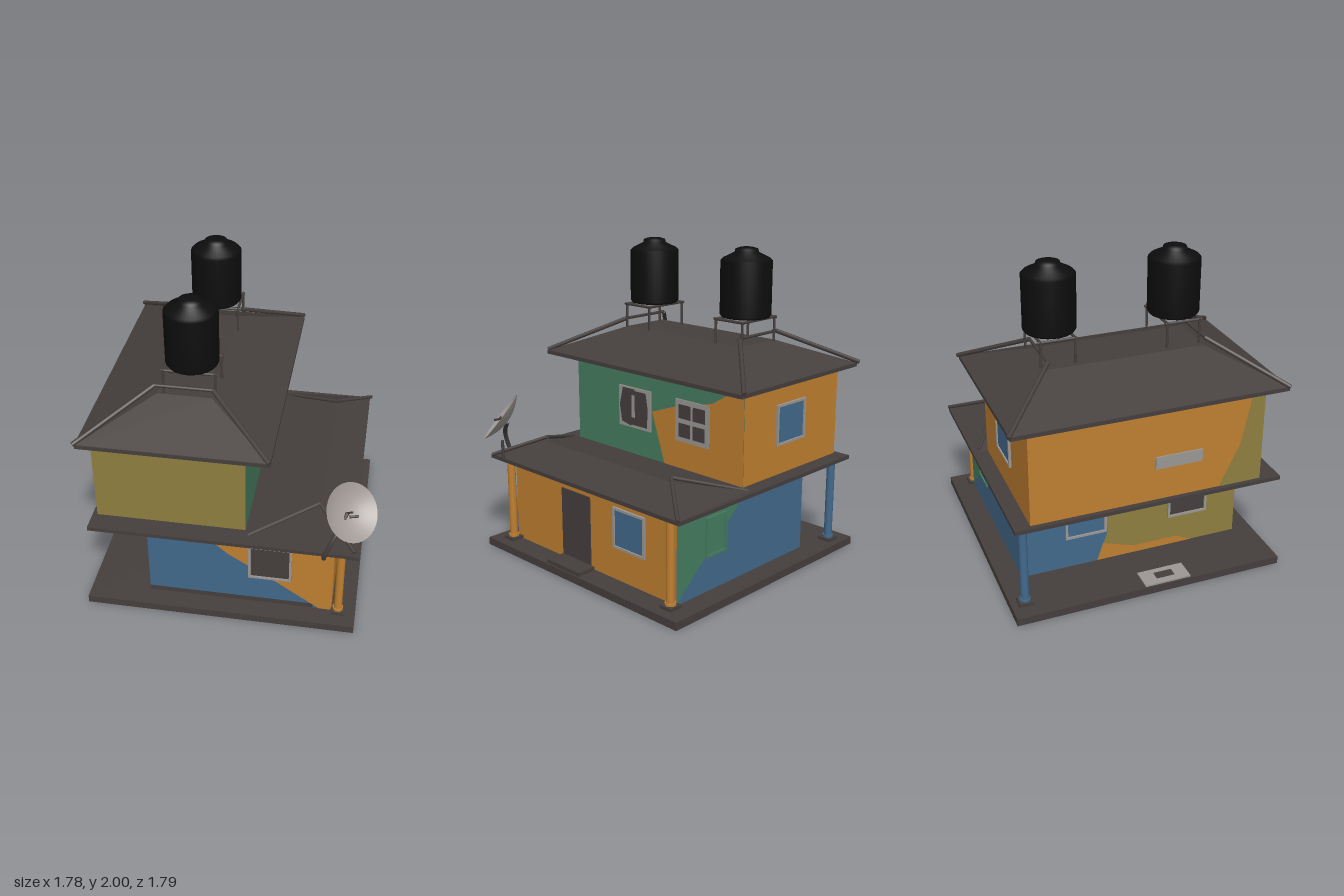
import * as THREE from 'three';

const mat = (name, color, side = THREE.FrontSide) => {
  const m = new THREE.MeshStandardMaterial({ color, side });
  m.name = name;
  return m;
};

export function createModel() {
  const root = new THREE.Group();
  root.name = 'house';
  const dark = mat('darkRoof', 0x453f3d), black = mat('blackTank', 0x0d0d0d);
  const orange = mat('orangePaint', 0xbf7f30), blue = mat('bluePaint', 0x42698c);
  const green = mat('greenPaint', 0x457d60), yellow = mat('oliveYellowPaint', 0x8f7f3f);
  const grey = mat('lightGrey', 0x9a9794), dish = mat('dishGrey', 0xa39c99, THREE.DoubleSide);

  const add = (name, geo, material, parent = root) => {
    const m = new THREE.Mesh(geo, material);
    m.name = name;
    parent.add(m);
    return m;
  };
  // box from its minimum and maximum corners
  const box = (name, a, b, material, parent) => {
    const m = add(name, new THREE.BoxGeometry(b[0] - a[0], b[1] - a[1], b[2] - a[2]), material, parent);
    m.position.set((a[0] + b[0]) / 2, (a[1] + b[1]) / 2, (a[2] + b[2]) / 2);
    return m;
  };
  const vec = p => new THREE.Vector3(...p);
  // straight round bar between two points
  const bar = (name, a, b, r, material, sides = 8) => {
    const p = vec(a), q = vec(b), d = q.clone().sub(p);
    const m = add(name, new THREE.CylinderGeometry(r, r, d.length(), sides), material);
    m.position.copy(p).add(q).multiplyScalar(0.5);
    m.quaternion.setFromUnitVectors(new THREE.Vector3(0, 1, 0), d.normalize());
    return m;
  };
  // flat polygons, corners counterclockwise seen from outside
  const faces = (name, polys, material) => {
    const v = [];
    for (const p of polys)
      for (let i = 1; i < p.length - 1; i++) v.push(...p[0], ...p[i], ...p[i + 1]);
    const g = new THREE.BufferGeometry();
    g.setAttribute('position', new THREE.Float32BufferAttribute(v, 3));
    g.computeVertexNormals();
    return add(name, g, material);
  };
  // wall frame: local x runs rightwards along the wall, local z points outwards
  const facade = (name, turn, dist) => {
    const g = new THREE.Group();
    g.name = name;
    g.rotation.y = turn * Math.PI / 2;
    g.position.set(Math.sin(g.rotation.y) * dist, 0, Math.cos(g.rotation.y) * dist);
    root.add(g);
    return g;
  };
  const poly = pts => new THREE.Shape(pts.map(p => new THREE.Vector2(...p)));
  const paint = (wall, name, pts, material, z = 0.003) => {
    add(name, new THREE.ShapeGeometry(poly(pts)), material, wall).position.z = z;
  };
  const rect = (u0, v0, u1, v1) => [[u0, v0], [u1, v0], [u1, v1], [u0, v1]];
  const windowAt = (wall, u0, v0, u1, v1, glass, frame = grey) => {
    const s = poly(rect(u0, v0, u1, v1)), t = 0.015;
    s.holes.push(new THREE.Path(poly(rect(u0 + t, v0 + t, u1 - t, v1 - t)).getPoints()));
    add('windowFrame', new THREE.ExtrudeGeometry(s, { depth: 0.015, bevelEnabled: false }), frame, wall);
    paint(wall, 'windowPane', rect(u0 + t, v0 + t, u1 - t, v1 - t), glass, 0.006);
  };

  // ground slab, step and mat
  box('groundSlab', [-0.89, 0, -0.89], [0.81, 0.05, 0.84], dark);
  box('doorStep', [0.67, 0.05, -0.06], [0.8, 0.075, 0.24], dark);
  box('sideStep', [-0.88, 0.05, -0.07], [-0.74, 0.06, 0.23], grey);
  paint(root, 'stepStain', rect(-0.84, 0, -0.78, 0.12), dark, 0);
  const stain = root.children[root.children.length - 1];
  stain.rotation.x = -Math.PI / 2;
  stain.position.set(0, 0.063, 0.14);

  // storeys and the slab between them
  box('lowerStorey', [-0.51, 0.05, -0.75], [0.66, 0.62, 0.71], [orange, yellow, dark, dark, blue, blue]);
  box('upperStorey', [-0.82, 0.62, -0.77], [0.11, 1.24, 0.7], [green, orange, dark, dark, yellow, orange]);
  box('floorSlab', [-0.85, 0.605, -0.87], [0.77, 0.63, 0.83], dark);

  // lower walls: paint, windows and door
  const front = facade('lowerFront', 0, 0.71);
  paint(front, 'orangeFrontPaint',
    [[0.58, 0.05], [0.66, 0.05], [0.66, 0.61], [-0.2, 0.61], [0, 0.43], [0.3, 0.24]], orange);
  paint(front, 'frontSkirting', rect(-0.51, 0.05, 0.54, 0.085), dark, 0.002);
  windowAt(front, 0.13, 0.26, 0.4, 0.52, dark);
  const right = facade('lowerRight', 1, 0.66);
  box('door', [-0.24, 0.05, 0], [0.02, 0.52, 0.009], dark, right);
  windowAt(right, 0.23, 0.26, 0.5, 0.52, blue);
  const back = facade('lowerBack', 2, 0.75);
  paint(back, 'greenBackPaint', [[-0.66, 0.05], [-0.62, 0.1], [-0.1, 0.55], [-0.05, 0.61], [-0.66, 0.61]], green);
  windowAt(back, -0.42, 0.27, -0.24, 0.52, green, green);
  const left = facade('lowerLeft', 3, 0.51);
  paint(left, 'blueLeftPaint', [[-0.75, 0.05], [-0.25, 0.05], [-0.18, 0.25], [-0.2, 0.61], [-0.75, 0.61]], blue);
  paint(left, 'orangeLeftPaint', [[-0.25, 0.05], [0.4, 0.05], [0.3, 0.1], [0, 0.1], [-0.21, 0.17]], orange);
  windowAt(left, -0.46, 0.26, -0.19, 0.52, blue);
  windowAt(left, 0.23, 0.26, 0.5, 0.52, dark);

  // upper walls: paint and windows
  const upRight = facade('upperRight', 1, 0.11);
  paint(upRight, 'orangeRightPaint',
    [[0.12, 0.63], [0.77, 0.63], [0.77, 1.24], [0.73, 1.23], [0.52, 1.1], [0.2, 1.02], [0.01, 0.95]], orange);
  box('weatheredWindow', [-0.29, 0.81, 0], [0, 1.08, 0.009], grey, upRight);
  paint(upRight, 'wornPaneLeft',
    [[-0.26, 0.84], [-0.17, 0.82], [-0.17, 1.07], [-0.25, 1.07], [-0.28, 0.95]], dark, 0.012);
  paint(upRight, 'wornPaneRight',
    [[-0.14, 0.83], [-0.03, 0.83], [-0.02, 0.95], [-0.04, 1.06], [-0.14, 1.06]], dark, 0.012);
  paint(upRight, 'wornPaneTop', rect(-0.17, 1.03, -0.14, 1.07), dark, 0.012);
  paint(upRight, 'wornPaneBottom', rect(-0.17, 0.83, -0.14, 0.88), dark, 0.012);
  box('paneledWindow', [0.22, 0.81, 0], [0.5, 1.08, 0.009], grey, upRight);
  for (const u of [0.25, 0.37])
    for (const v of [0.84, 0.96]) paint(upRight, 'smallPane', rect(u, v, u + 0.1, v + 0.09), dark, 0.012);
  windowAt(facade('upperBack', 2, 0.77), 0.19, 0.82, 0.47, 1.08, blue);
  const upLeft = facade('upperLeft', 3, 0.82);
  paint(upLeft, 'yellowLeftPaint', [[0.42, 0.63], [0.7, 0.63], [0.7, 1.24], [0.62, 1.24], [0.55, 0.9]], yellow);
  box('narrowWindow', [0, 0.84, 0], [0.3, 0.92, 0.009], grey, upLeft);

  // columns
  for (const [x, z, m] of [[0.7, 0.71, orange], [0.7, -0.74, orange], [-0.75, -0.8, blue]]) {
    bar('column', [x, 0.05, z], [x, 0.61, z], 0.026, m, 20);
    box('columnBase', [x - 0.045, 0.05, z - 0.045], [x + 0.045, 0.07, z + 0.045], dark);
    bar('columnCollar', [x, 0.07, z], [x, 0.085, z], 0.034, m, 20);
  }

  // upper hip roof with a flat top
  box('upperEave', [-0.87, 1.225, -0.88], [0.27, 1.25, 0.83], dark);
  const ring = (x0, x1, z0, z1, y) => [[x0, y, z1], [x1, y, z1], [x1, y, z0], [x0, y, z0]];
  const lo = ring(-0.865, 0.265, -0.875, 0.825, 1.25), hi = ring(-0.46, -0.13, -0.53, 0.46, 1.41);
  faces('upperRoof', [hi, ...lo.map((p, i) => [p, lo[(i + 1) % 4], hi[(i + 1) % 4], hi[i]])], dark);
  const capLo = ring(-0.88, 0.265, -0.89, 0.83, 1.255), capHi = ring(-0.475, -0.12, -0.53, 0.46, 1.465);
  capLo.forEach((p, i) => bar('upperHipCap', p, capHi[i], 0.014, dark));
  bar('frontRidgeCap', capHi[0], capHi[1], 0.01, dark);
  bar('backRidgeCap', capHi[2], capHi[3], 0.01, dark);

  // lower porch roof, open at the front end
  const rf = [0.55, 0.735, 0.53], rb = [0.55, 0.735, -0.6];
  const ef = [0.765, 0.63, 0.82], eb = [0.765, 0.63, -0.865];
  const wf = [0.11, 0.63, 0.74], wb = [0.11, 0.63, -0.83];
  faces('porchRoof', [[ef, eb, rb, rf], [wb, wf, rf, rb], [eb, wb, rb]], dark);
  for (const [z, ez, wz] of [[0.53, 0.8, 0.74], [-0.59, -0.87, -0.82]]) {
    bar('porchHipCap', [0.78, 0.635, ez], [0.54, 0.76, z], 0.012, dark);
    bar('porchInnerCap', [0.13, 0.63, wz], [0.54, 0.76, z], 0.012, dark);
  }

  // water tanks on stands
  const profile = [[0, 1.575], [0.15, 1.575], [0.16, 1.59], [0.16, 1.92], [0.145, 1.935],
    [0.075, 1.97], [0.07, 1.99], [0.04, 2], [0, 2]].map(p => new THREE.Vector2(...p));
  for (const z of [0.34, -0.45]) {
    const tank = add('waterTank', new THREE.LatheGeometry(profile, 32), black);
    tank.position.set(-0.265, 0, z);
    for (const s of [-1, 1]) {
      const x = -0.265 + s * 0.155;
      for (const t of [-0.105, 0.105]) bar('standLeg', [x, 1.41, z + t], [x, 1.565, z + t], 0.008, dark);
      bar('standSideRail', [x, 1.565, z - 0.12], [x, 1.565, z + 0.12], 0.009, dark);
      bar('standCrossRail', [-0.43, 1.565, z + s * 0.105], [-0.1, 1.565, z + s * 0.105], 0.009, dark);
    }
  }

  // satellite dish: shallow bowl, bent mast, feed and support
  const bowl = [];
  for (let i = 0; i <= 8; i++) bowl.push(new THREE.Vector2(0.178 * i / 8, 0.055 * (i / 8) ** 2 - 0.055));
  const aim = new THREE.Vector3(0.56, 0.62, 0.55).normalize();
  const centre = new THREE.Vector3(0.745, 0.895, 0.745);
  const bowlMesh = add('dishBowl', new THREE.LatheGeometry(bowl, 32), dish);
  bowlMesh.position.copy(centre);
  bowlMesh.quaternion.setFromUnitVectors(new THREE.Vector3(0, 1, 0), aim);
  const hub = centre.clone().addScaledVector(aim, -0.055);
  const mast = new THREE.CatmullRomCurve3([[0.61, 0.59, 0.73], [0.6, 0.59, 0.83], [0.605, 0.63, 0.85],
    [0.65, 0.75, 0.83]].map(vec).concat(hub));
  add('dishMast', new THREE.TubeGeometry(mast, 24, 0.014, 8), dark);
  bar('dishFeedArm', hub.toArray(), centre.clone().addScaledVector(aim, 0.005).toArray(), 0.006, dark);
  bar('dishFeed', [0.73, 0.875, 0.765], [0.785, 0.88, 0.755], 0.008, dark);
  bar('dishSupport', [0.77, 0.63, 0.7], [0.77, 0.75, 0.7], 0.01, dark);
  return root;
}
